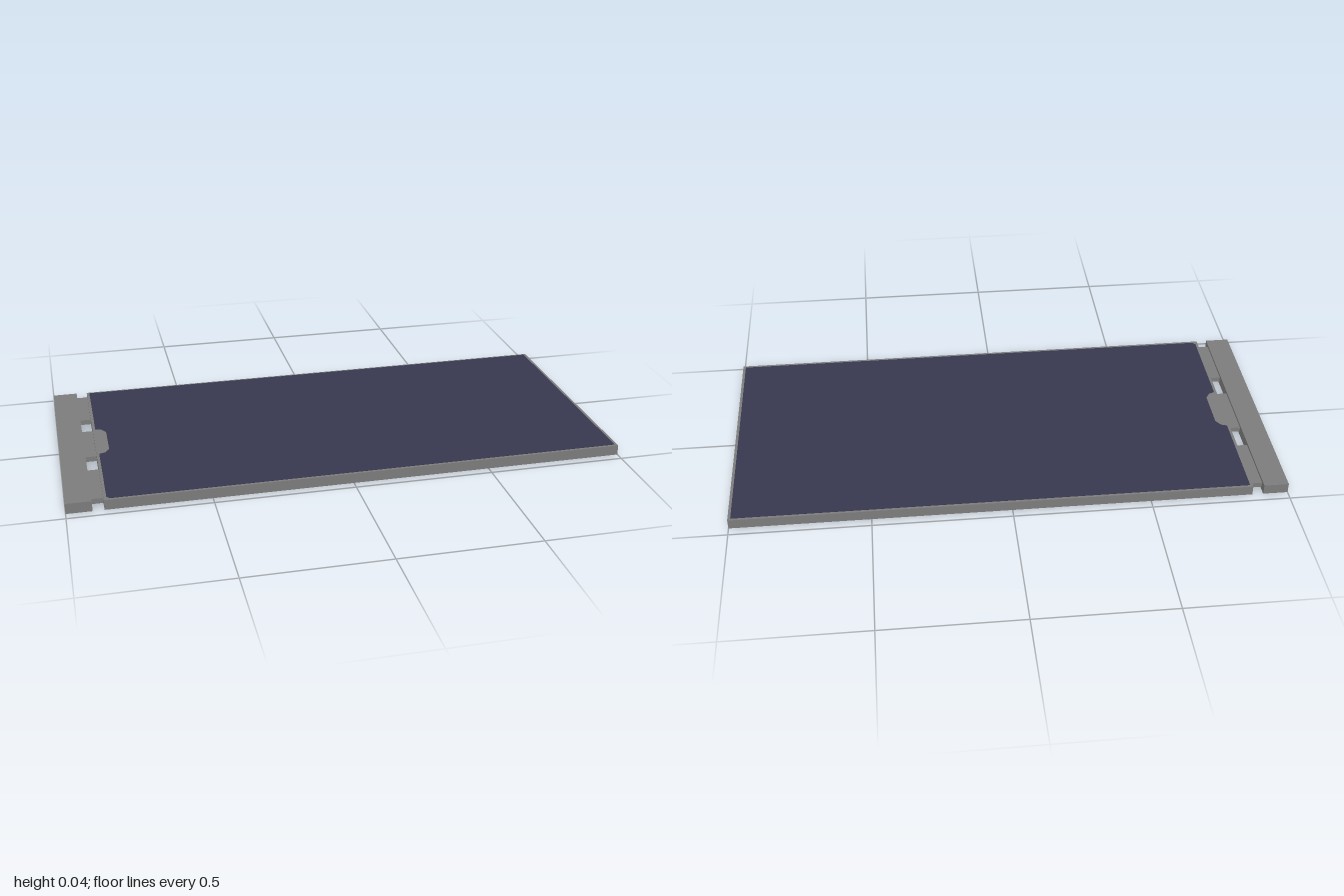
import * as THREE from 'three';

export function createModel() {
  const model = new THREE.Group();
  const grey = new THREE.MeshStandardMaterial({ color: 0x7c7c7c });
  grey.name = 'grey casing';
  const navy = new THREE.MeshStandardMaterial({ color: 0x37374e });
  navy.name = 'navy panel';

  const H = 0.038, HALF = 0.467;

  // Box given by its x, y and z ranges
  function box(name, x0, x1, y0, y1, z0, z1) {
    const mesh = new THREE.Mesh(new THREE.BoxGeometry(x1 - x0, y1 - y0, z1 - z0), grey);
    mesh.position.set((x0 + x1) / 2, (y0 + y1) / 2, (z0 + z1) / 2);
    mesh.name = name;
    model.add(mesh);
  }

  // Flat plate from [x, z] outline points, lying at height y
  function plate(name, points, y, thickness, material) {
    const shape = new THREE.Shape(points.map(([x, z]) => new THREE.Vector2(x, -z)));
    const geometry = new THREE.ExtrudeGeometry(shape, { depth: thickness, bevelEnabled: false });
    geometry.rotateX(-Math.PI / 2);
    const mesh = new THREE.Mesh(geometry, material);
    mesh.position.y = y;
    mesh.name = name;
    model.add(mesh);
  }

  // Main slab and the separate edge bar
  box('slab', -0.87, 1, 0, H - 0.001, -HALF, HALF);
  box('edgeBar', -1, -0.91, 0, H, -HALF, HALF);

  // Three thin links between bar and slab
  for (const z of [-0.33, -0.003, 0.325]) {
    box('link', -0.915, -0.865, 0.01, 0.029, z - 0.11, z + 0.11);
  }

  // Rounded tab outline, shared with the notch in the panel
  const tab = [[-0.86, -0.108], [-0.838, -0.1], [-0.822, -0.075],
    [-0.822, 0.075], [-0.838, 0.1], [-0.86, 0.108]];
  plate('tab', [[-0.87, -0.108], ...tab, [-0.87, 0.108]], H - 0.002, 0.002, grey);

  // Inset top panel, notched around the tab
  plate('topPanel', [[-0.86, -0.458], ...tab, [-0.86, 0.445], [-0.848, 0.457],
    [0.99, 0.457], [0.99, -0.458]], H - 0.002, 0.002, navy);

  return model;
}
